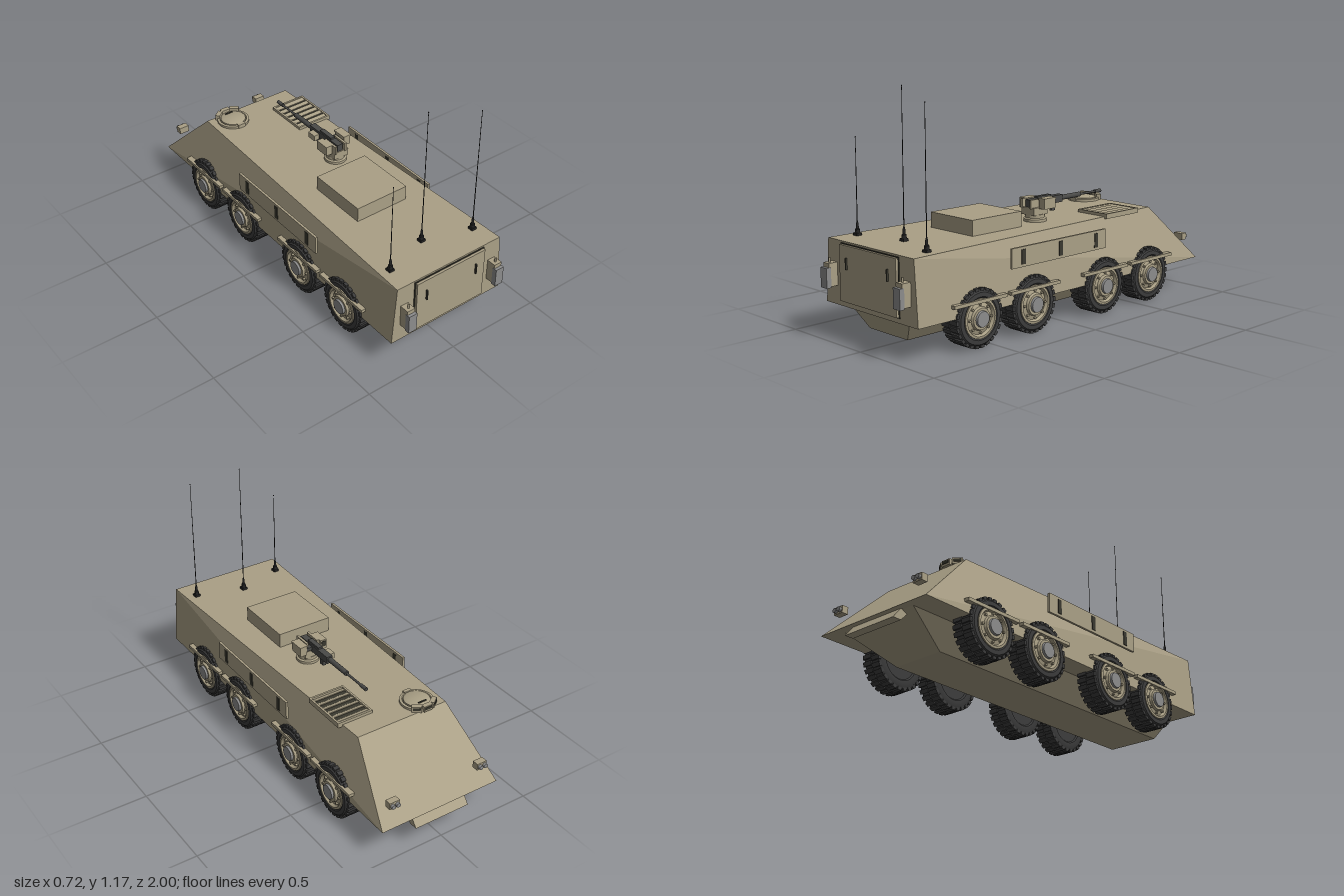
import * as THREE from 'three';
import { toCreasedNormals } from 'three/addons/utils/BufferGeometryUtils.js';
import { ConvexGeometry } from 'three/addons/geometries/ConvexGeometry.js';

const paint = (color) => new THREE.MeshStandardMaterial({ color, side: THREE.DoubleSide });
const tan = paint(0xaaa086), rubber = paint(0x3c3c3c), black = paint(0x222222);
const grey = paint(0x8c8c8c), gunmetal = paint(0x4a4a48), dark = paint(0x39382f);

function add(parent, name, geo, mat, x = 0, y = 0, z = 0) {
  const m = new THREE.Mesh(geo, mat);
  m.name = name;
  m.position.set(x, y, z);
  parent.add(m);
  return m;
}
// Box given by its limits on each axis
function block(parent, name, mat, [x0, x1], [y0, y1], [z0, z1]) {
  return add(parent, name, new THREE.BoxGeometry(x1 - x0, y1 - y0, z1 - z0), mat,
    (x0 + x1) / 2, (y0 + y1) / 2, (z0 + z1) / 2);
}
// Convex solid from [half width, y, z] corners mirrored in x
function solid(corners) {
  return new ConvexGeometry(corners.flatMap(([x, y, z]) =>
    [new THREE.Vector3(x, y, z), new THREE.Vector3(-x, y, z)]));
}
function lathe(points, segments = 40) {
  const g = new THREE.LatheGeometry(points.map(([r, y]) => new THREE.Vector2(r, y)), segments);
  return toCreasedNormals(g, 0.6);
}
const cyl = (r0, r1, h, n = 24) => new THREE.CylinderGeometry(r0, r1, h, n);
function rodZ(parent, name, mat, r, x, y, z0, z1, n = 12) {
  add(parent, name, cyl(r, r, Math.abs(z1 - z0), n), mat, x, y, (z0 + z1) / 2).rotation.x = Math.PI / 2;
}

// Wheel around the local y axis, outer face towards +y
function makeWheel() {
  const wheel = new THREE.Group();
  wheel.name = 'wheel';
  add(wheel, 'tyre', lathe([[0, -0.045], [0.085, -0.045], [0.092, -0.052], [0.12, -0.052], [0.133, -0.044],
    [0.133, 0.044], [0.12, 0.057], [0.1, 0.058], [0.09, 0.05], [0.085, 0.03]]), rubber);
  const lugs = 26, lug = new THREE.BoxGeometry(0.016, 0.05, 0.021);
  for (let i = 0; i < lugs * 2; i++) {
    const a = i * Math.PI / lugs, row = i % 2 ? 1 : -1;
    add(wheel, 'treadLug', lug, rubber, 0.1315 * Math.cos(a), row * 0.026, 0.1315 * Math.sin(a)).rotation.y = -a;
  }
  add(wheel, 'rim', lathe([[0.093, 0.04], [0.093, 0.058], [0.082, 0.06], [0.074, 0.046],
    [0.055, 0.052], [0.05, 0.064], [0, 0.064]]), tan);
  add(wheel, 'hub', cyl(0.036, 0.04, 0.02), grey, 0, 0.065, 0);
  for (let i = 0; i < 8; i++) {
    const a = i * Math.PI / 4;
    add(wheel, 'wheelNut', cyl(0.006, 0.006, 0.012, 6), tan, 0.065 * Math.cos(a), 0.053, 0.065 * Math.sin(a));
  }
  return wheel;
}

// Parts on one flank, built for +x (s = 1) or -x (s = -1)
function makeFlank(s) {
  const side = new THREE.Group();
  side.name = s > 0 ? 'leftFlank' : 'rightFlank';
  const span = (a, b) => (s > 0 ? [a, b] : [-b, -a]);
  for (const z of [0.585, 0.24, -0.25, -0.595]) {
    const wheel = makeWheel();
    wheel.position.set(s * 0.283, 0.14, z);
    wheel.rotation.z = -s * Math.PI / 2;
    side.add(wheel);
    add(side, 'axle', cyl(0.025, 0.025, 0.14), dark, s * 0.19, 0.14, z).rotation.z = Math.PI / 2;
    block(side, 'fender', tan, span(0.315, 0.347), [0.212, 0.228], [z - 0.16, z + 0.16]);
  }
  // Stand-off panel with vision slits
  block(side, 'sidePanel', tan, span(0.338, 0.35), [0.335, 0.43], [-0.235, 0.4]);
  for (const z of [0.328, 0.083, -0.165])
    block(side, 'visionSlit', dark, span(0.337, 0.353), [0.348, 0.418], [z - 0.012, z + 0.012]);
  // Tail lamp
  block(side, 'tailLampHousing', tan, span(0.24, 0.282), [0.25, 0.36], [0.93, 0.985]);
  block(side, 'tailLampGlass', grey, span(0.238, 0.284), [0.245, 0.34], [0.975, 1.0]);
  add(side, 'tailLampCap', cyl(0.005, 0.005, 0.025, 10), tan, s * 0.261, 0.37, 0.965);
  // Headlamp pod
  block(side, 'headlampPod', tan, span(0.222, 0.276), [0.255, 0.29], [-0.965, -0.932]);
  for (const dx of [-0.013, 0.013])
    rodZ(side, 'headlamp', grey, 0.011, s * 0.249 + dx, 0.272, -0.96, -0.978, 16);
  // Door handle
  block(side, 'doorHandle', dark, span(0.144, 0.15), [0.342, 0.396], [0.952, 0.962]);
  return side;
}

function makeAntenna(x, z, top) {
  const a = new THREE.Group();
  a.name = 'antenna';
  a.position.set(x, 0.465, z);
  block(a, 'antennaBase', black, [-0.014, 0.014], [0, 0.012], [-0.014, 0.014]);
  add(a, 'antennaSpring', lathe([[0.013, 0.012], [0.011, 0.03], [0.007, 0.033], [0.006, 0.055], [0.002, 0.07]], 12), black);
  const h = top - 0.465;
  add(a, 'antennaRod', cyl(0.0012, 0.0025, h, 8), black, 0, h / 2, 0);
  add(a, 'antennaTip', new THREE.SphereGeometry(0.003, 8, 6), black, 0, h - 0.003, 0);
  return a;
}

function makeHatch() {
  const h = new THREE.Group();
  h.name = 'driverHatch';
  h.position.set(-0.138, 0.465, -0.605);
  add(h, 'hatchRing', lathe([[0.082, 0], [0.082, 0.012], [0.07, 0.014], [0.066, 0.008]]), tan);
  add(h, 'hatchLid', lathe([[0.064, 0], [0.064, 0.016], [0.05, 0.022], [0, 0.022]]), tan);
  block(h, 'hatchHandle', dark, [-0.022, 0.022], [0.022, 0.027], [-0.044, -0.038]);
  block(h, 'hatchHinge', tan, [-0.02, 0.02], [0, 0.02], [0.066, 0.084]);
  for (const a of [-0.65, 0, 0.65]) {
    const p = new THREE.Group();
    p.name = 'periscope';
    p.rotation.y = a;
    block(p, 'periscopeBody', tan, [-0.024, 0.024], [0, 0.029], [-0.09, -0.066]);
    block(p, 'periscopeGlass', dark, [-0.018, 0.018], [0.01, 0.024], [-0.092, -0.089]);
    h.add(p);
  }
  return h;
}

function makeGun() {
  const g = new THREE.Group();
  g.name = 'weaponStation';
  add(g, 'mountRing', lathe([[0.057, 0.465], [0.057, 0.478], [0.048, 0.483], [0.048, 0.5], [0, 0.5]]), tan, 0.083, 0, -0.015);
  block(g, 'mountBody', tan, [0.04, 0.125], [0.498, 0.535], [-0.06, 0.035]);
  block(g, 'sightBox', tan, [0.005, 0.04], [0.525, 0.575], [-0.065, 0.015]);
  block(g, 'sightGlass', dark, [0.01, 0.035], [0.54, 0.568], [-0.067, -0.064]);
  block(g, 'ammoBox', tan, [0.125, 0.163], [0.53, 0.578], [-0.075, 0.0]);
  block(g, 'ammoBoxLid', tan, [0.122, 0.166], [0.574, 0.583], [-0.078, 0.003]);
  block(g, 'cradleArm', tan, [0.04, 0.052], [0.53, 0.575], [-0.05, 0.04]);
  block(g, 'cradleArm', tan, [0.1, 0.112], [0.53, 0.575], [-0.05, 0.04]);
  block(g, 'receiver', gunmetal, [0.062, 0.094], [0.535, 0.572], [-0.2, 0.03]);
  block(g, 'receiverCover', gunmetal, [0.066, 0.09], [0.572, 0.582], [-0.12, -0.03]);
  block(g, 'feedChute', gunmetal, [0.09, 0.13], [0.545, 0.562], [-0.07, -0.04]);
  block(g, 'casingBox', tan, [0.03, 0.06], [0.53, 0.56], [-0.17, -0.12]);
  block(g, 'foregrip', gunmetal, [0.07, 0.086], [0.497, 0.54], [-0.155, -0.13]);
  rodZ(g, 'barrelShroud', gunmetal, 0.013, 0.076, 0.553, -0.19, -0.34);
  rodZ(g, 'barrel', gunmetal, 0.006, 0.076, 0.553, -0.33, -0.495);
  rodZ(g, 'muzzle', gunmetal, 0.0095, 0.076, 0.553, -0.455, -0.498);
  return g;
}

function makeGrille() {
  const g = new THREE.Group();
  g.name = 'engineGrille';
  block(g, 'grilleBed', dark, [0.09, 0.272], [0.462, 0.469], [-0.56, -0.325]);
  for (const [a, b] of [[0.086, 0.096], [0.268, 0.278]]) block(g, 'grilleFrame', tan, [a, b], [0.455, 0.48], [-0.564, -0.322]);
  for (const z of [-0.564, -0.332]) block(g, 'grilleFrame', tan, [0.086, 0.278], [0.455, 0.48], [z, z + 0.01]);
  for (let i = 0; i < 6; i++)
    add(g, 'grilleSlat', new THREE.BoxGeometry(0.174, 0.004, 0.022), tan, 0.182, 0.474, -0.54 + i * 0.0385).rotation.x = 0.25;
  return g;
}

export function createModel() {
  const model = new THREE.Group();
  model.name = 'armouredCarrier';
  // Hull
  add(model, 'upperHull', solid([[0.328, 0.16, 0.937], [0.305, 0.465, 0.937], [0.25, 0.465, -0.68], [0.328, 0.163, -0.987]]), tan);
  add(model, 'lowerHull', solid([[0.215, 0.161, 0.89], [0.135, 0.05, 0.84], [0.135, 0.05, -0.71], [0.215, 0.161, -0.95]]), tan);
  add(model, 'noseLip', solid([[0.15, 0.163, -0.91], [0.15, 0.112, -0.955], [0.15, 0.112, -1.0], [0.15, 0.163, -0.96]]), tan);
  // Door with a dark seam around it
  block(model, 'doorSeam', dark, [-0.207, 0.207], [0.183, 0.457], [0.93, 0.941]);
  block(model, 'door', tan, [-0.202, 0.202], [0.188, 0.452], [0.93, 0.953]);
  // Roof
  block(model, 'roofBox', tan, [-0.146, 0.146], [0.46, 0.54], [0.14, 0.456]);
  model.add(makeHatch(), makeGun(), makeGrille());
  model.add(makeAntenna(-0.246, 0.815, 0.925), makeAntenna(0.246, 0.815, 1.12), makeAntenna(0, 0.74, 1.17));
  for (const s of [1, -1]) model.add(makeFlank(s));
  return model;
}
